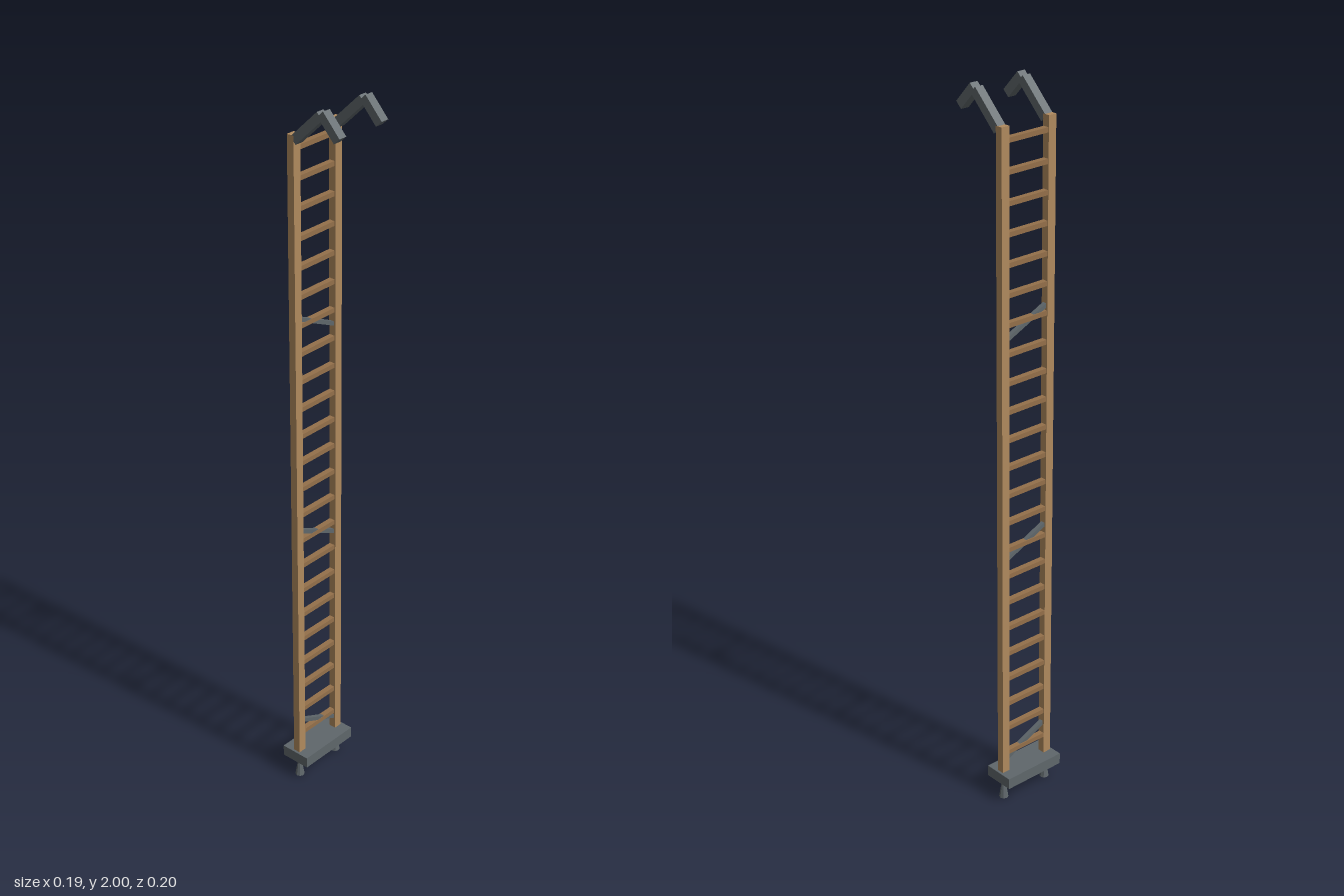
import * as THREE from 'three';

const Z = -0.056; // depth of the ladder plane
const RAIL_X = 0.075;

const material = (color) => new THREE.MeshStandardMaterial({ color, flatShading: true });

export function createModel() {
  const model = new THREE.Group();
  const railWood = material(0xb08a5e);
  const rungWood = material(0x94704a);
  const metal = material(0x5f676b);

  function add(parent, name, geometry, mat, x, y, z) {
    const mesh = new THREE.Mesh(geometry, mat);
    mesh.name = name;
    mesh.position.set(x, y, z);
    parent.add(mesh);
    return mesh;
  }

  // Square bar between two [z, y] points, lying in a plane of constant x
  function bar(parent, name, x, [z0, y0], [z1, y1]) {
    const length = Math.hypot(z1 - z0, y1 - y0);
    const mesh = add(parent, name, new THREE.BoxGeometry(0.024, 0.024, length), metal,
      x, (y0 + y1) / 2, (z0 + z1) / 2);
    mesh.rotation.x = -Math.atan2(y1 - y0, z1 - z0);
  }

  // Base block
  add(model, 'base', new THREE.BoxGeometry(0.188, 0.032, 0.088), metal, 0, 0.071, Z);

  // Rails, feet and hooks, mirrored left and right
  for (const [side, s] of [['left', 1], ['right', -1]]) {
    const x = s * RAIL_X;
    add(model, side + 'Rail', new THREE.BoxGeometry(0.024, 1.842, 0.021), railWood, x, 0.996, Z);
    add(model, side + 'Foot', new THREE.CylinderGeometry(0.004, 0.013, 0.056, 8), metal, x, 0.028, Z);

    const hook = new THREE.Group();
    hook.name = side + 'Hook';
    bar(hook, 'hookArm', x, [-0.047, 1.905], [0.037, 1.986]);
    bar(hook, 'hookTip', x, [0.039, 1.992], [0.09, 1.937]);
    model.add(hook);
  }

  // Rungs
  const rungs = new THREE.Group();
  rungs.name = 'rungs';
  const rungGeometry = new THREE.BoxGeometry(0.13, 0.013, 0.016);
  for (let i = 0; i < 23; i++) {
    add(rungs, 'rung', rungGeometry, rungWood, 0, 0.145 + i * 0.0789, Z - 0.001);
  }
  model.add(rungs);

  // Slanted metal braces
  const braceGeometry = new THREE.BoxGeometry(0.15, 0.011, 0.012);
  for (const y of [0.155, 0.777, 1.398]) {
    const brace = add(model, 'brace', braceGeometry, metal, 0, y, Z);
    brace.rotation.z = -0.43;
  }

  return model;
}
